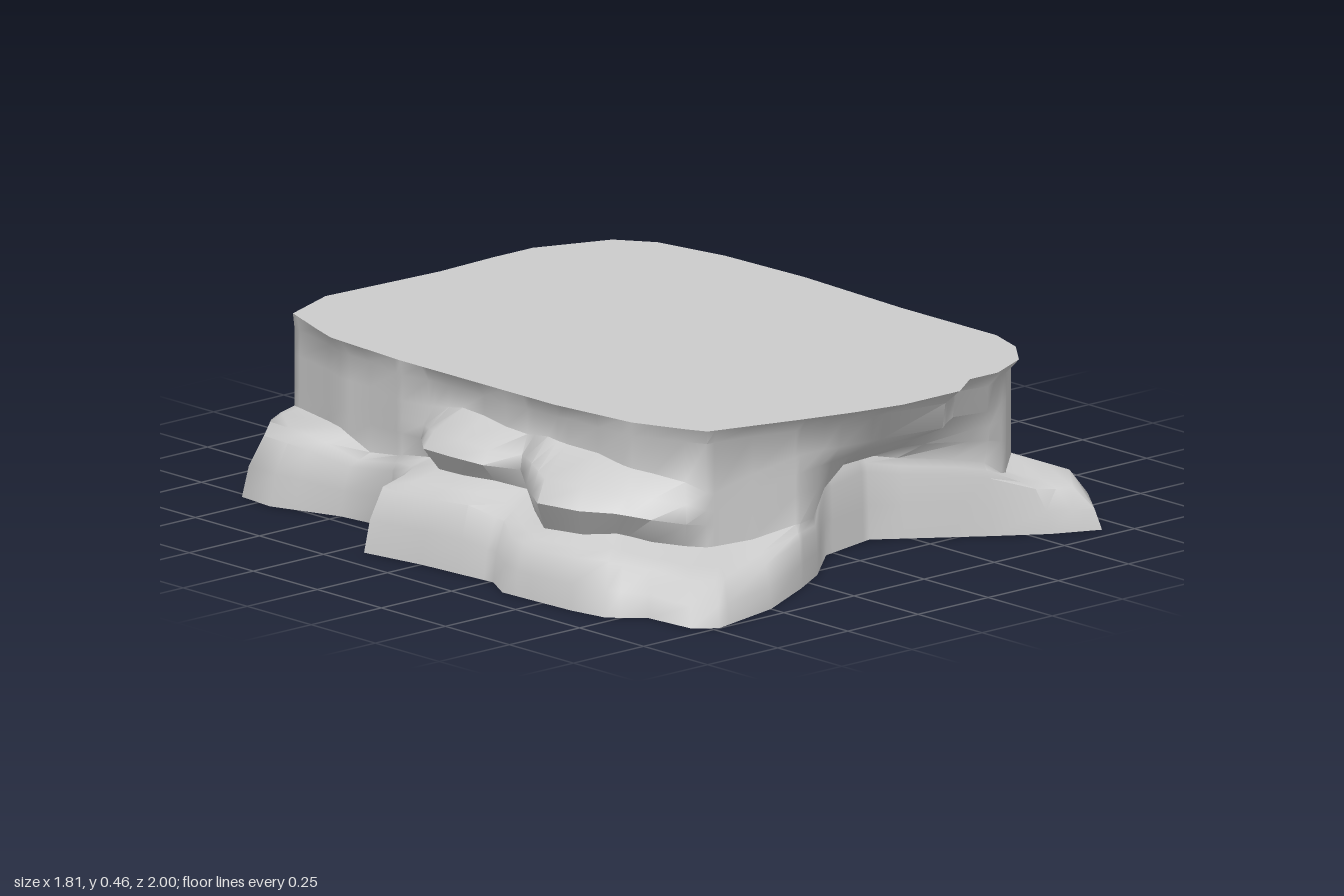
import * as THREE from 'three';
import { toCreasedNormals } from 'three/addons/utils/BufferGeometryUtils.js';

const TOP = 0.46;
const { lerp, smoothstep } = THREE.MathUtils;

// Plateau rim: x, z
const RIM = [
  [-0.57, -0.84], [-0.39, -0.91], [-0.2, -0.9], [0, -0.89], [0.2, -0.9], [0.34, -0.9], [0.55, -0.82],
  [0.62, -0.72], [0.66, -0.5], [0.67, -0.2], [0.66, 0], [0.65, 0.2], [0.65, 0.57], [0.61, 0.69],
  [0.53, 0.79], [0.4, 0.85], [0.3, 0.85], [0.2, 0.92], [0, 0.92], [-0.15, 0.89], [-0.3, 0.85],
  [-0.57, 0.77], [-0.65, 0.57], [-0.68, 0.3], [-0.68, 0], [-0.68, -0.3], [-0.66, -0.6],
];

// Foot outline with a deep bay in front: x, z, height of the ledge above it
const FOOT = [
  [-0.51, -1, 0.16], [-0.3, -0.98, 0.17], [-0.15, -0.94, 0.18], [0.12, -0.91, 0.19], [0.34, -1, 0.2],
  [0.5, -0.96, 0.22], [0.7, -0.91, 0.25], [0.7, -0.76, 0.26], [0.81, -0.77, 0.29], [0.82, -0.62, 0.29],
  [0.78, -0.42, 0.28], [0.76, -0.35, 0.22], [0.77, -0.22, 0.18], [0.84, -0.09, 0.15], [0.9, 0.1, 0.1],
  [0.9, 0.2, 0.1], [0.8, 0.42, 0.12], [0.71, 0.58, 0.13], [0.75, 0.86, 0.14], [0.68, 0.95, 0.14],
  [0.55, 0.89, 0.15], [0.42, 0.8, 0.18], [0.16, 0.61, 0.2], [-0.03, 0.65, 0.22], [-0.18, 0.78, 0.13],
  [-0.3, 0.85, 0.13], [-0.5, 0.95, 0.13], [-0.73, 1, 0.12], [-0.79, 0.95, 0.12], [-0.8, 0.8, 0.13],
  [-0.88, 0.72, 0.14], [-0.9, 0.6, 0.15], [-0.91, 0.35, 0.16], [-0.86, 0.26, 0.18], [-0.88, 0, 0.2],
  [-0.91, -0.19, 0.2], [-0.78, -0.23, 0.2], [-0.69, -0.33, 0.16], [-0.71, -0.5, 0.16],
  [-0.78, -0.7, 0.2], [-0.77, -0.82, 0.2], [-0.6, -0.92, 0.17],
];

// Upper shelves that jut out of the wall on both flanks: x, z, height
const SHELF = [
  [0, -0.7, 0.3], [0.5, -0.7, 0.32], [0.72, -0.68, 0.34], [0.77, -0.55, 0.34], [0.74, -0.38, 0.33],
  [0.67, -0.2, 0.3], [0.68, 0.02, 0.27], [0.79, 0.1, 0.26], [0.78, 0.22, 0.26], [0.68, 0.45, 0.25],
  [0.6, 0.65, 0.27], [0.4, 0.6, 0.3], [-0.2, 0.6, 0.3], [-0.5, 0.72, 0.23], [-0.62, 0.75, 0.26],
  [-0.83, 0.56, 0.3], [-0.85, 0.42, 0.3], [-0.78, 0.3, 0.31], [-0.69, 0.18, 0.3], [-0.77, 0.12, 0.31],
  [-0.78, -0.1, 0.32], [-0.68, -0.22, 0.3], [-0.6, -0.5, 0.3], [-0.5, -0.7, 0.3],
];

const angleOf = ([x, z]) => Math.atan2(z, x);

// Distance from the centre to an outline along a ray, with the ledge height there
function hit(outline, a) {
  const dx = Math.cos(a), dz = Math.sin(a);
  let best = { r: 0, h: 0 };
  outline.forEach((p, i) => {
    const q = outline[(i + 1) % outline.length];
    const cp = dx * p[1] - dz * p[0], cq = dx * q[1] - dz * q[0];
    if (cp * cq > 0 || cp === cq) return;
    const t = cp / (cp - cq);
    const r = dx * lerp(p[0], q[0], t) + dz * lerp(p[1], q[1], t);
    if (r > best.r) best = { r, h: lerp(p[2] || 0, q[2] || 0, t) };
  });
  return best;
}

// Vertical profile of the rock along one ray, from ground to rim
function profile(a) {
  const rim = hit(RIM, a).r, foot = hit(FOOT, a), shelf = hit(SHELF, a);
  const front = smoothstep(Math.sin(a), 0.85, 1);
  const rough = 0.01 * Math.sin(a * 11) + 0.006 * Math.sin(a * 23 + 1);
  const wall = rim - 0.02 - 0.05 * front + rough;
  const neck = Math.min(Math.max(wall, shelf.r - 0.05), foot.r - 0.02);
  const lip = Math.max(shelf.r, lerp(neck, wall, 0.5));
  const steep = smoothstep(foot.h, 0.14, 0.28);
  const at = (t) => lerp(neck, foot.r, t);
  const h = foot.h + rough;
  const top = Math.max(shelf.h, h + 0.04);
  return [
    [foot.r, 0],
    [at(0.92), h * 0.45],
    [at(lerp(0.7, 0.82, steep)), h * 0.88],
    [at(lerp(0.38, 0.58, steep)), h],
    [neck, h + 0.02],
    [lip, lerp(h + 0.02, top, 0.6)],
    [lerp(wall, lip, 0.75), top],
    [wall, Math.min(top + 0.05, TOP - 0.05)],
    [wall + 0.01 * front, TOP - 0.04],
    [rim, TOP],
  ].map(([r, y]) => new THREE.Vector3(r * Math.cos(a), y, r * Math.sin(a)));
}

function rockGeometry() {
  const angles = [...RIM, ...FOOT, ...SHELF].map(angleOf).sort((a, b) => a - b)
    .filter((a, i, all) => i === 0 || a - all[i - 1] > 0.008);
  const columns = angles.map(profile);
  const pos = [];
  const tri = (...pts) => pts.forEach((p) => pos.push(p.x, p.y, p.z));
  const ground = new THREE.Vector3(0, 0, 0), crown = new THREE.Vector3(0, TOP, 0);
  columns.forEach((c, i) => {
    const d = columns[(i + 1) % columns.length];
    for (let k = 0; k < c.length - 1; k++) {
      tri(c[k], c[k + 1], d[k]);
      tri(c[k + 1], d[k + 1], d[k]);
    }
    // Flat plateau and underside
    tri(crown, d[c.length - 1], c[c.length - 1]);
    tri(ground, c[0], d[0]);
  });
  const geo = new THREE.BufferGeometry();
  geo.setAttribute('position', new THREE.Float32BufferAttribute(pos, 3));
  return toCreasedNormals(geo, 0.95);
}

export function createModel() {
  const stone = new THREE.MeshStandardMaterial({ color: 0xcccccc });
  stone.name = 'grey stone';
  const group = new THREE.Group();
  group.name = 'flatRock';
  const rock = new THREE.Mesh(rockGeometry(), stone);
  rock.name = 'rockPlateau';
  group.add(rock);
  return group;
}
